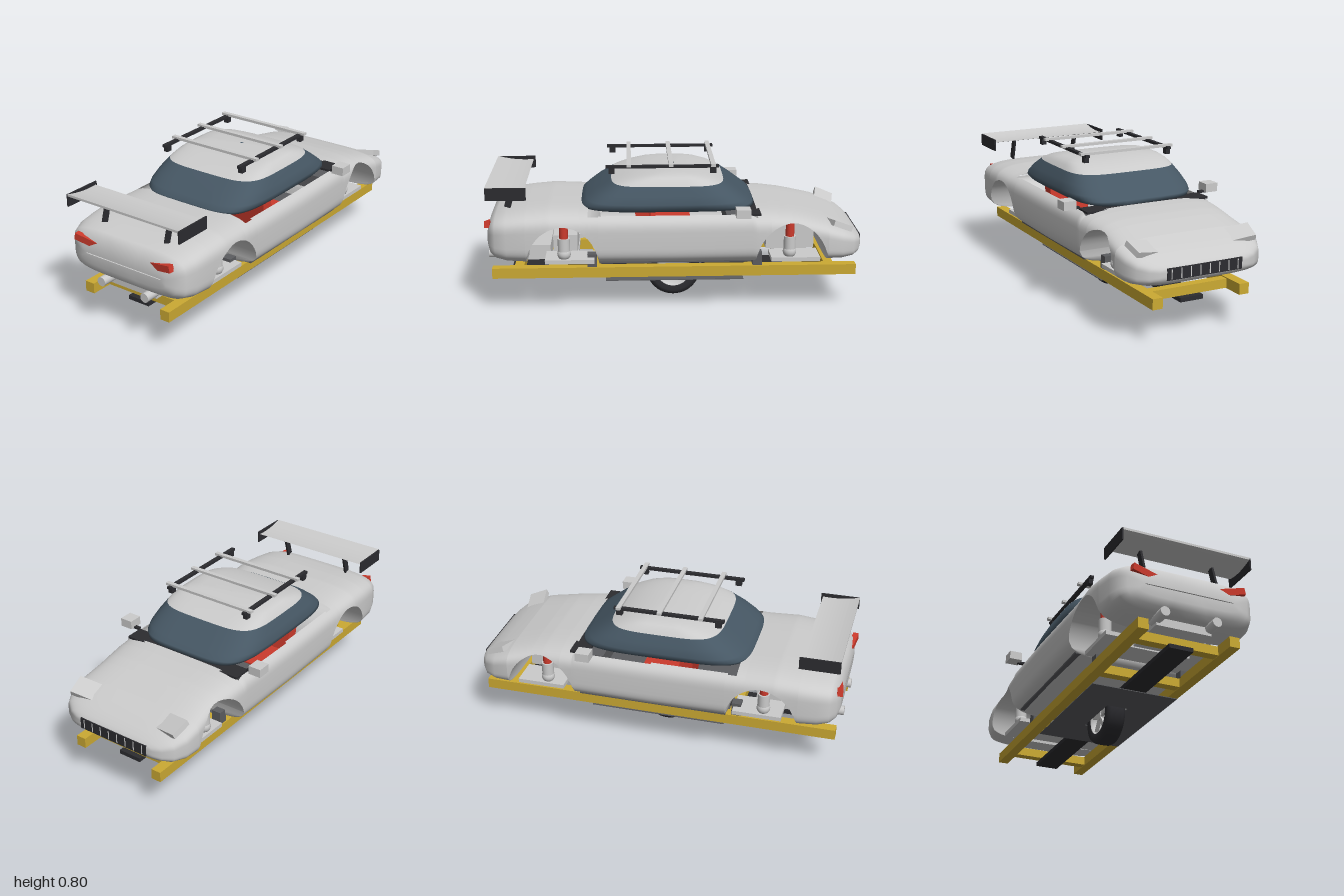
import * as THREE from 'three';

const paint = (color) => new THREE.MeshStandardMaterial({ color, side: THREE.DoubleSide });
const GREY = paint(0xcccccc), BLACK = paint(0x2c2c30), DARK = paint(0x5c5d60);
const RED = paint(0xcc3a2c), YELLOW = paint(0xccaa33), GLASS = paint(0x465764);

export function createModel() {
  const car = new THREE.Group();
  car.name = 'car';

  const add = (name, geometry, material, x = 0, y = 0, z = 0) => {
    const mesh = new THREE.Mesh(geometry, material);
    mesh.name = name;
    mesh.position.set(x, y, z);
    car.add(mesh);
    return mesh;
  };
  const box = (name, material, x, y, z, w, h, d) => add(name, new THREE.BoxGeometry(w, h, d), material, x, y, z);
  const rod = (name, material, x, y, z, r, len) => add(name, new THREE.CylinderGeometry(r, r, len, 20), material, x, y, z);
  const sides = (fn) => [1, -1].forEach(fn);

  // Skin over closed rings of points; keep() can leave quads out
  const loft = (rings, keep = () => true) => {
    const n = rings[0].length, index = [];
    for (let i = 0; i < rings.length - 1; i++) {
      for (let j = 0; j < n; j++) {
        const k = (j + 1) % n;
        if (!keep(rings[i][j], rings[i + 1][k])) continue;
        const a = i * n + j, b = a + n, c = (i + 1) * n + k, d = i * n + k;
        index.push(a, b, c, a, c, d);
      }
    }
    const g = new THREE.BufferGeometry();
    g.setAttribute('position', new THREE.Float32BufferAttribute(rings.flat(2), 3));
    g.setIndex(index);
    g.computeVertexNormals();
    return g;
  };
  const pow = (v, p) => Math.sign(v) * Math.abs(v) ** p;

  // Body stations: x, half width, top, bottom
  const keys = [
    [-0.985, 0.24, 0.42, 0.415], [-0.985, 0.27, 0.46, 0.36], [-0.97, 0.325, 0.515, 0.32],
    [-0.94, 0.36, 0.538, 0.298], [-0.88, 0.382, 0.555, 0.285], [-0.78, 0.392, 0.568, 0.28],
    [-0.66, 0.4, 0.578, 0.276], [-0.5, 0.395, 0.572, 0.274], [-0.45, 0.395, 0.572, 0.274],
    [0, 0.4, 0.573, 0.272], [0.4, 0.395, 0.573, 0.272], [0.43, 0.394, 0.557, 0.273],
    [0.5, 0.39, 0.553, 0.275], [0.6, 0.38, 0.542, 0.278], [0.67, 0.377, 0.528, 0.28],
    [0.8, 0.387, 0.495, 0.282], [0.88, 0.377, 0.465, 0.285], [0.94, 0.345, 0.436, 0.293],
    [0.975, 0.295, 0.41, 0.308], [0.99, 0.25, 0.395, 0.322], [0.995, 0.22, 0.385, 0.335],
    [0.995, 0.2, 0.362, 0.358]];
  const arches = [-0.59, 0.61], R = 0.19, STEPS = 20;
  const between = (x) => {
    const i = keys.findIndex((k) => k[0] >= x), a = keys[i - 1], b = keys[i];
    const t = (x - a[0]) / (b[0] - a[0]);
    return a.map((v, m) => v + (b[m] - v) * t);
  };
  const archStations = arches.flatMap((c) =>
    Array.from({ length: STEPS + 1 }, (_, k) => between(c + R * Math.cos((k * Math.PI) / STEPS))));
  const stations = [...keys, ...archStations].sort((a, b) => a[0] - b[0]);

  // Rounded-box section whose lower edge is lifted along the wheel arches
  const section = ([x, w, top, bottom]) => {
    const mid = (top + bottom) / 2, h = (top - bottom) / 2, N = 96, p = 4.4;
    let edge = -1;
    for (const c of arches) {
      const d = 1 - ((x - c) / R) ** 2;
      if (d > 1e-6) edge = 0.28 + 0.22 * Math.sqrt(d);
    }
    return Array.from({ length: N }, (_, j) => {
      const a = -Math.PI / 2 + (j * 2 * Math.PI) / N;
      let z = w * pow(Math.cos(a), 2 / p), y = mid + h * pow(Math.sin(a), 2 / p);
      if (y < edge) {
        y = edge;
        z = (Math.cos(a) < 0 ? -1 : 1) * w * Math.max(0, 1 - Math.abs((y - mid) / h) ** p) ** (1 / p);
      }
      return [x, y, z];
    });
  };
  const outsideCockpit = (a, c) => !(a[0] > -0.46 && c[0] < 0.435 && a[1] > 0.45 &&
    Math.abs(a[2]) < 0.356 && Math.abs(c[2]) < 0.356);
  add('body', loft(stations.map(section), outsideCockpit), GREY);

  // Cabin: rounded rings of y, rear x, front x, half width
  const ring = ([y, x0, x1, w]) => Array.from({ length: 64 }, (_, j) => {
    const a = (j * Math.PI) / 32;
    return [(x0 + x1) / 2 + ((x1 - x0) / 2) * pow(Math.cos(a), 0.45), y, -w * pow(Math.sin(a), 0.45)];
  });
  add('windows', loft([[0.548, -0.46, 0.4, 0.29], [0.56, -0.495, 0.43, 0.325], [0.578, -0.495, 0.42, 0.343],
    [0.6, -0.468, 0.388, 0.346], [0.64, -0.415, 0.335, 0.331], [0.688, -0.335, 0.265, 0.305]].map(ring)), GLASS);
  add('roof', loft([[0.688, -0.335, 0.265, 0.305], [0.71, -0.275, 0.215, 0.29], [0.727, -0.2, 0.155, 0.27],
    [0.737, -0.135, 0.1, 0.24], [0.743, -0.06, 0.05, 0.18], [0.745, -0.005, 0.005, 0.01]].map(ring)), GREY);
  box('cowl', BLACK, 0.395, 0.546, 0, 0.1, 0.012, 0.71);

  // Interior
  box('cockpitFloor', DARK, 0, 0.3, 0, 0.8, 0.02, 0.7);
  box('dashboard', DARK, 0.32, 0.49, 0, 0.1, 0.08, 0.66);
  sides((s) => {
    box('seatCushion', RED, -0.02, 0.36, s * 0.18, 0.24, 0.1, 0.22);
    box('seatBack', RED, -0.16, 0.45, s * 0.18, 0.07, 0.24, 0.22).rotation.z = 0.15;
  });

  // Roof rack
  sides((s) => {
    box('rackRail', BLACK, -0.065, 0.783, s * 0.243, 0.59, 0.014, 0.022);
    for (const x of [-0.33, 0.2]) box('rackFoot', BLACK, x, 0.765, s * 0.243, 0.032, 0.034, 0.025);
  });
  for (const x of [-0.24, -0.02, 0.2]) box('rackCrossbar', GREY, x, 0.793, 0, 0.024, 0.014, 0.55);

  // Rear wing
  const foil = new THREE.Shape();
  foil.moveTo(-0.1, 0.016);
  foil.quadraticCurveTo(0, -0.012, 0.1, -0.004);
  foil.quadraticCurveTo(0.02, -0.03, -0.1, 0.004);
  add('wing', new THREE.ExtrudeGeometry(foil, { depth: 0.7, bevelEnabled: false }), GREY, -0.88, 0.69, -0.35);
  sides((s) => {
    box('wingEndPlate', BLACK, -0.875, 0.67, s * 0.353, 0.21, 0.066, 0.008);
    box('wingSupport', BLACK, -0.865, 0.617, s * 0.2, 0.035, 0.12, 0.012).rotation.z = -0.3;
  });

  // Lamps, mirrors and exhausts
  sides((s) => {
    box('headlight', GREY, 0.865, 0.462, s * 0.26, 0.105, 0.03, 0.165).rotation.set(-0.16 * s, 0.2 * s, -0.35);
    box('tailLight', RED, -0.972, 0.482, s * 0.24, 0.03, 0.036, 0.135).rotation.set(-0.2 * s, -0.14 * s, 0);
    box('mirror', GREY, 0.345, 0.578, s * 0.42, 0.075, 0.046, 0.07);
    box('mirrorArm', BLACK, 0.35, 0.556, s * 0.375, 0.02, 0.012, 0.04);
    rod('exhaustPipe', GREY, -0.93, 0.288, s * 0.14, 0.025, 0.13).rotation.z = Math.PI / 2;
  });
  box('muffler', GREY, -0.79, 0.29, 0, 0.25, 0.08, 0.3);

  // Grille
  box('grille', BLACK, 0.98, 0.36, 0, 0.036, 0.06, 0.42);
  for (let i = 0; i < 8; i++) box('grilleBar', GREY, 0.998, 0.36, (i - 3.5) * 0.053, 0.004, 0.05, 0.005);

  // Engine, subframes and suspension
  box('engine', GREY, 0.63, 0.36, 0, 0.26, 0.14, 0.26);
  box('engineCover', RED, 0.625, 0.455, 0, 0.25, 0.032, 0.2);
  for (const x of [-0.587, 0.61]) {
    box('subframe', GREY, x, 0.32, 0, 0.13, 0.11, 0.24);
    box('subframePlate', GREY, x, 0.258, 0, 0.14, 0.022, 0.33);
    sides((s) => {
      box('controlArm', GREY, x + 0.03, 0.285, s * 0.23, 0.26, 0.022, 0.16);
      add('balljoint', new THREE.SphereGeometry(0.036, 20, 14), GREY, x, 0.32, s * 0.27);
      rod('damper', GREY, x, 0.365, s * 0.27, 0.032, 0.08);
      rod('spring', RED, x, 0.448, s * 0.27, 0.023, 0.09);
    });
  }

  // Carrying frame
  sides((s) => {
    box('frameRail', YELLOW, 0, 0.213, s * 0.245, 1.94, 0.056, 0.055);
    for (const x of [-0.44, 0.44]) box('framePost', DARK, x, 0.275, s * 0.24, 0.05, 0.075, 0.052);
  });
  for (const x of [-0.83, -0.42, 0.42, 0.83]) box('frameCrossmember', YELLOW, x, 0.212, 0, 0.05, 0.048, 0.46);
  sides((s) => box('centrePlank', BLACK, s * 0.52, 0.174, 0, 0.72, 0.022, 0.13));

  // Belly plate with a slot for the wheel
  const plate = new THREE.Shape([[-0.37, -0.24], [0.37, -0.24], [0.37, 0.24], [-0.37, 0.24]].map((p) => new THREE.Vector2(...p)));
  plate.holes.push(new THREE.Path([[-0.15, -0.06], [-0.15, 0.06], [0.15, 0.06], [0.15, -0.06]].map((p) => new THREE.Vector2(...p))));
  add('bellyPlate', new THREE.ExtrudeGeometry(plate, { depth: 0.004, bevelEnabled: false }), DARK, 0, 0.157, 0).rotation.x = Math.PI / 2;

  // Central wheel
  const lathe = (pts) => new THREE.LatheGeometry(pts.map((p) => new THREE.Vector2(...p)), 48).rotateX(Math.PI / 2);
  const WY = 0.148;
  add('tyre', lathe([[0.095, -0.05], [0.12, -0.055], [0.138, -0.05], [0.147, -0.035], [0.148, 0],
    [0.147, 0.035], [0.138, 0.05], [0.12, 0.055], [0.095, 0.05]]), BLACK, 0, WY);
  add('rim', lathe([[0.098, -0.05], [0.09, -0.048], [0.083, -0.03], [0.083, 0.03], [0.09, 0.048], [0.098, 0.05]]), GREY, 0, WY);
  add('rimDish', lathe([[0.085, 0.035], [0.06, 0.02], [0, 0.015]]), GREY, 0, WY);
  rod('hub', GREY, 0, WY, -0.015, 0.024, 0.06).rotation.x = Math.PI / 2;
  for (let i = 0; i < 5; i++) {
    const a = (i * 2 * Math.PI) / 5 + Math.PI / 2;
    box('spoke', GREY, 0.052 * Math.cos(a), WY + 0.052 * Math.sin(a), -0.034, 0.07, 0.024, 0.014).rotation.z = a;
  }
  return car;
}
